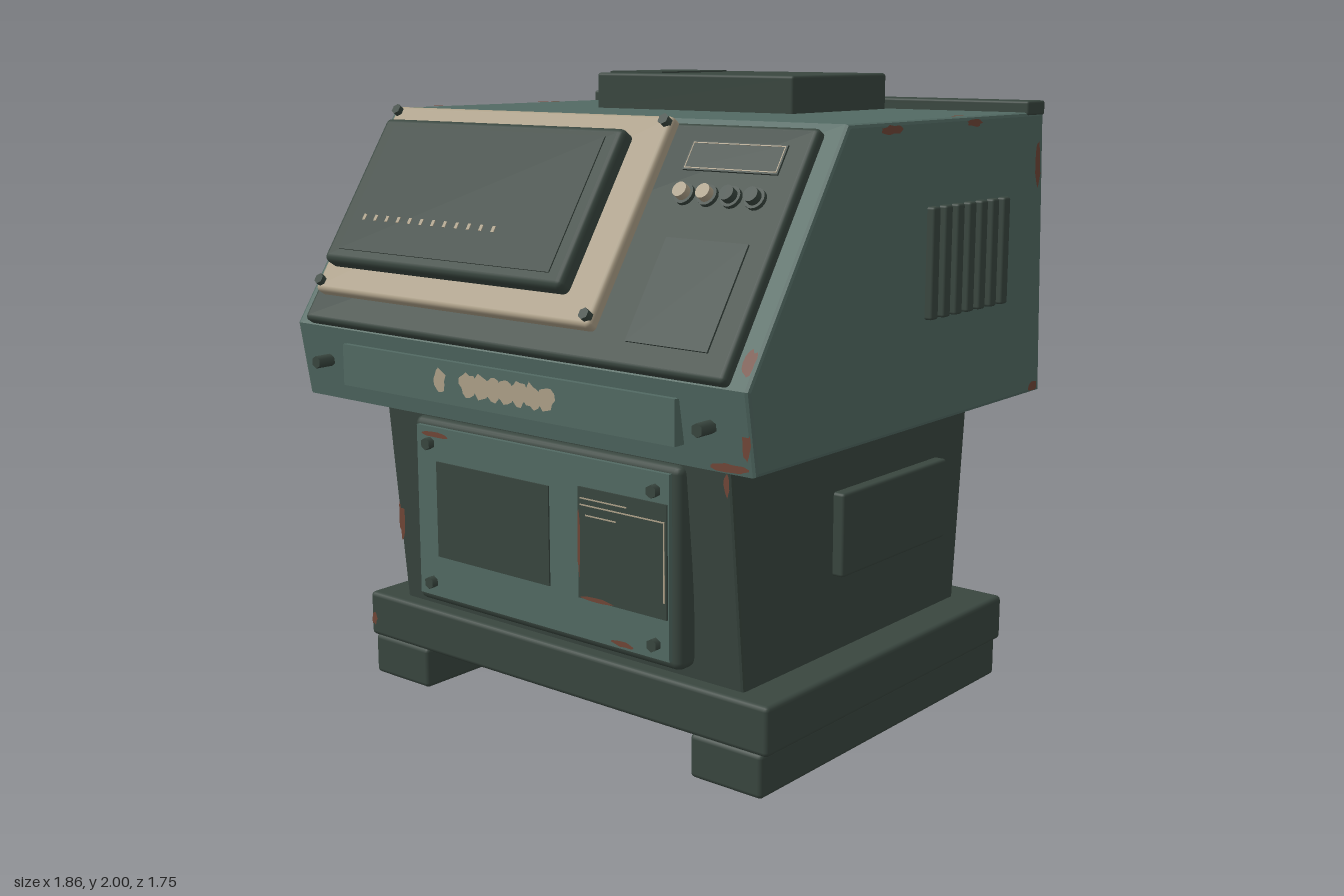
import * as THREE from 'three';
import { RoundedBoxGeometry } from 'three/addons/geometries/RoundedBoxGeometry.js';

const material = (name, color, side = THREE.FrontSide) => {
  const m = new THREE.MeshStandardMaterial({ color, side });
  m.name = name;
  return m;
};

export function createModel() {
  const teal = material('teal paint', 0x526a63);
  const dark = material('dark green metal', 0x39463f);
  const cream = material('cream plastic', 0xaea189);
  const rust = material('rust', 0x704637, THREE.DoubleSide);

  const model = new THREE.Group();
  model.name = 'industrialConsole';

  const add = (parent, name, geo, mat, x = 0, y = 0, z = 0) => {
    const mesh = new THREE.Mesh(geo, mat);
    mesh.name = name;
    mesh.position.set(x, y, z);
    parent.add(mesh);
    return mesh;
  };

  // Box given by its limits, with optional rounded edges
  const block = (parent, name, mat, [x0, x1], [y0, y1], [z0, z1], r = 0) => {
    const size = [x1 - x0, y1 - y0, z1 - z0];
    const geo = r ? new RoundedBoxGeometry(...size, 2, r) : new THREE.BoxGeometry(...size);
    return add(parent, name, geo, mat, (x0 + x1) / 2, (y0 + y1) / 2, (z0 + z1) / 2);
  };

  // Side profile of [z, y] points swept across the width
  const sweep = (name, mat, points, width, bevel) => {
    const shape = new THREE.Shape(points.map(([z, y]) => new THREE.Vector2(-z, y)));
    const geo = new THREE.ExtrudeGeometry(shape, {
      depth: width - 2 * bevel, bevelThickness: bevel, bevelSize: bevel, bevelOffset: -bevel, bevelSegments: 2,
    });
    geo.translate(0, 0, bevel - width / 2).rotateY(Math.PI / 2);
    return add(model, name, geo, mat);
  };

  // Short cylinder facing +z
  const stud = (parent, name, mat, r, x, y, z0, z1, sides = 6) =>
    add(parent, name, new THREE.CylinderGeometry(r, r, z1 - z0, sides).rotateX(Math.PI / 2), mat, x, y, (z0 + z1) / 2);

  // Irregular flat patch of worn paint
  let seed = 7;
  const random = () => (seed = (seed * 16807) % 2147483647) / 2147483647;
  const patch = (parent, name, mat, w, h, [x, y, z], rx = 0, ry = 0) => {
    const points = [];
    for (let i = 0; i < 14; i++) {
      const a = (i / 14) * Math.PI * 2;
      const r = 0.65 + 0.35 * random();
      points.push(new THREE.Vector2(Math.cos(a) * r * w / 2, Math.sin(a) * r * h / 2));
    }
    const mesh = add(parent, name, new THREE.ShapeGeometry(new THREE.Shape(points)), mat, x, y, z);
    mesh.rotation.set(rx, ry, 0);
  };

  // Base plinth on two runners
  block(model, 'basePlinth', dark, [-0.835, 0.83], [0.13, 0.28], [-0.68, 0.63], 0.015);
  block(model, 'rightRunner', dark, [-0.815, -0.56], [0, 0.135], [-0.68, 0.63], 0.015);
  block(model, 'leftRunner', dark, [0.55, 0.81], [0, 0.135], [-0.68, 0.63], 0.015);

  // Pedestal flares slightly towards the top
  sweep('pedestal', dark, [[0.575, 0.27], [0.645, 0.99], [-0.63, 0.99], [-0.57, 0.27]], 1.41, 0.01);

  // Upper housing with a sloping face
  sweep('upperHousing', teal,
    [[0.79, 0.98], [0.83, 1.215], [0.39, 1.88], [-0.70, 1.88], [-0.74, 0.98]], 1.81, 0.012);
  block(model, 'rearTopBar', dark, [-0.907, 0.907], [1.87, 1.915], [-0.703, -0.595], 0.008);
  block(model, 'roofBox', dark, [-0.4, 0.4], [1.87, 1.995], [-0.57, -0.05], 0.01);
  block(model, 'roofBoxHatch', dark, [-0.385, -0.16], [1.99, 2.0], [-0.44, -0.1]);

  // Vent slats and pedestal panels on both sides
  for (const side of [-1, 1]) {
    const span = (a, b) => (side > 0 ? [a, b] : [-b, -a]);
    for (let i = 0; i < 7; i++) {
      const z = -0.037 - i * 0.068;
      block(model, 'ventSlat', dark, span(0.89, 0.93), [1.3, 1.63], [z - 0.019, z + 0.019], 0.008);
    }
    block(model, 'pedestalSidePanel', dark, span(0.69, 0.743), [0.52, 0.78], [-0.445, 0.14], 0.01);
  }

  // Control face: local y runs up the slope, local z points out of it
  const face = new THREE.Group();
  face.name = 'controlFace';
  face.position.set(0, 1.215, 0.83);
  face.rotation.x = -Math.atan2(0.44, 0.665);
  model.add(face);
  block(face, 'facePanel', dark, [-0.845, 0.84], [0.005, 0.768], [-0.02, 0.032], 0.015);
  block(face, 'screenBezel', cream, [-0.81, 0.355], [0.094, 0.768], [0.02, 0.068], 0.015);
  block(face, 'screenHousing', dark, [-0.775, 0.24], [0.179, 0.696], [0.05, 0.116], 0.02);
  block(face, 'screenGlass', dark, [-0.715, 0.185], [0.22, 0.66], [0.112, 0.12]);
  for (let i = 0; i < 12; i++) {
    const x = -0.66 + i * 0.0515;
    block(face, 'screenMark', cream, [x - 0.006, x + 0.006], [0.325, 0.345], [0.119, 0.122]);
  }
  for (const x of [-0.79, 0.337])
    for (const y of [0.125, 0.745]) stud(face, 'bezelBolt', dark, 0.018, x, y, 0.06, 0.085);

  // Readout, knobs and hatch beside the screen
  block(face, 'readout', dark, [0.435, 0.765], [0.613, 0.705], [0.03, 0.038]);
  for (const y of [0.618, 0.698]) block(face, 'readoutTrim', cream, [0.44, 0.76], [y, y + 0.003], [0.037, 0.039]);
  for (const x of [0.44, 0.757]) block(face, 'readoutTrim', cream, [x, x + 0.003], [0.62, 0.698], [0.037, 0.039]);
  [0.48, 0.562, 0.644, 0.726].forEach((x, i) => {
    stud(face, 'knobCollar', dark, 0.032, x, 0.535, 0.03, 0.045, 20);
    stud(face, 'knob', i < 2 ? cream : dark, 0.023, x, 0.535, 0.04, 0.068, 20);
  });
  block(face, 'controlHatch', dark, [0.475, 0.76], [0.08, 0.4], [0.03, 0.038]);

  // Lip strip below the face, with worn paint
  block(model, 'lipStrip', teal, [-0.675, 0.67], [1.04, 1.17], [0.79, 0.84]);
  patch(model, 'wornPaint', cream, 0.06, 0.085, [-0.235, 1.11, 0.842]);
  for (let i = 0; i < 7; i++)
    patch(model, 'wornPaint', cream, 0.085, 0.085, [-0.115 + i * 0.052, 1.11, 0.842 + i * 0.0002]);
  for (const x of [-0.77, 0.77]) stud(model, 'lipBolt', dark, 0.02, x, 1.105, 0.8, 0.872);

  // Service door on the pedestal
  block(model, 'doorFrame', dark, [-0.555, 0.545], [0.325, 0.93], [0.585, 0.664], 0.025);
  block(model, 'doorPanel', teal, [-0.525, 0.515], [0.355, 0.908], [0.64, 0.678]);
  block(model, 'doorGrille', dark, [-0.435, 0.05], [0.49, 0.8], [0.675, 0.683]);
  block(model, 'doorPlate', dark, [0.17, 0.51], [0.48, 0.82], [0.675, 0.683]);
  for (const [x0, x1, y] of [[0.18, 0.5, 0.765], [0.18, 0.36, 0.785], [0.2, 0.32, 0.735]])
    block(model, 'plateLine', cream, [x0, x1], [y, y + 0.004], [0.682, 0.685]);
  block(model, 'plateLine', cream, [0.498, 0.503], [0.53, 0.77], [0.682, 0.685]);
  for (const x of [-0.465, 0.465])
    for (const y of [0.4, 0.855]) stud(model, 'doorBolt', dark, 0.02, x, y, 0.67, 0.7);

  // Bent cable pipe at the back
  const pipe = [[-0.6, 1.55, -0.755], [-0.655, 1.2, -0.8], [-0.63, 0.82, -0.85], [-0.57, 0.53, -0.795], [-0.49, 0.415, -0.625]]
    .map((p) => new THREE.Vector3(...p));
  const path = new THREE.CurvePath();
  for (let i = 1; i < pipe.length; i++) path.add(new THREE.LineCurve3(pipe[i - 1], pipe[i]));
  add(model, 'backPipe', new THREE.TubeGeometry(path, 48, 0.024, 10), dark);
  for (const p of [pipe[0], pipe[4]])
    add(model, 'pipeEnd', new THREE.SphereGeometry(0.024, 10, 6), dark, p.x, p.y, p.z);

  // Rust along the front edges
  for (const [x, y, w, h] of [[-0.875, 0.6, 0.055, 0.27], [-0.878, 0.36, 0.05, 0.14], [0.878, 0.08, 0.045, 0.09]])
    patch(face, 'rustPatch', rust, w, h, [x, y, 0.003]);
  patch(face, 'rustPatch', rust, 0.025, 0.05, [-0.792, 0.5, 0.07]);
  for (const [x, y, z, w, h] of [
    [0.82, 0.997, 0.797, 0.15, 0.03], [0.885, 1.07, 0.809, 0.035, 0.1], [-0.69, 0.56, 0.606, 0.03, 0.18],
    [0.69, 0.9, 0.64, 0.025, 0.09], [-0.815, 0.19, 0.632, 0.03, 0.05], [0.175, 0.65, 0.685, 0.012, 0.28],
    [0.25, 0.485, 0.685, 0.15, 0.015], [-0.44, 0.885, 0.68, 0.13, 0.02], [0.34, 0.37, 0.68, 0.1, 0.02],
  ]) patch(model, 'rustPatch', rust, w, h, [x, y, z]);

  // Rust on the housing sides, roof and back
  for (const side of [-1, 1])
    for (const [z, y, w, h] of [[0.18, 1.857, 0.13, 0.03], [-0.27, 1.86, 0.1, 0.025], [-0.69, 1.0, 0.08, 0.035], [-0.67, 1.72, 0.04, 0.16]])
      patch(model, 'rustPatch', rust, w, h, [side * 0.907, y, z], 0, side * Math.PI / 2);
  for (const [x, z, w, h] of [[-0.88, -0.3, 0.035, 0.19], [-0.885, 0.22, 0.03, 0.1], [0.88, -0.22, 0.03, 0.1]])
    patch(model, 'rustPatch', rust, w, h, [x, 1.882, z], -Math.PI / 2);
  patch(model, 'rustPatch', rust, 0.12, 0.02, [-0.4025, 1.94, -0.25], 0, -Math.PI / 2);
  patch(model, 'rustPatch', rust, 0.03, 0.14, [-0.685, 0.5, -0.592], 0, Math.PI);
  patch(model, 'rustPatch', rust, 0.18, 0.05, [-0.78, 0.282, -0.2], -Math.PI / 2, 0);

  return model;
}
